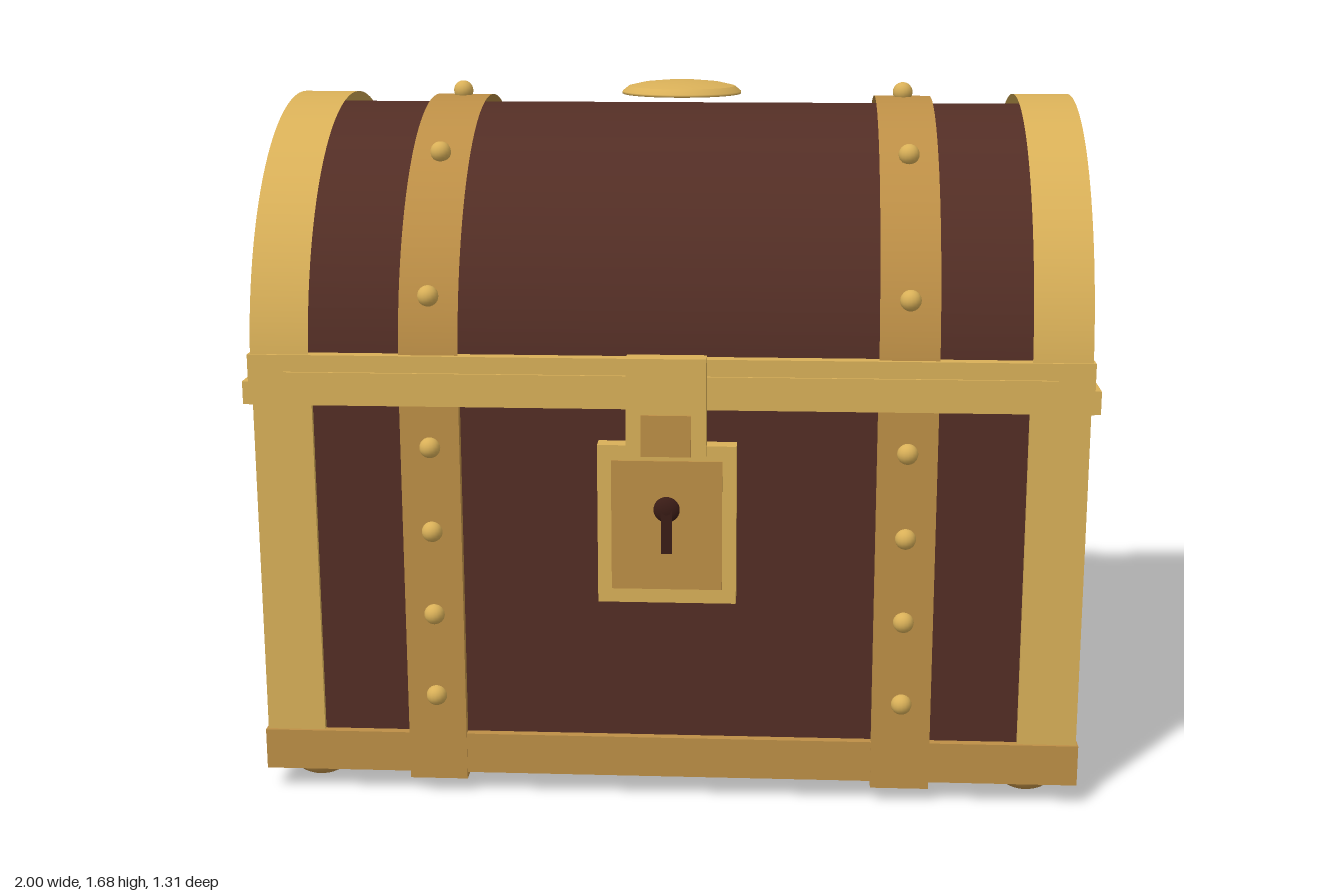
import * as THREE from 'three';

export function createModel() {
  const chest = new THREE.Group();
  chest.name = 'treasureChest';
  const mat = (name, color, side = THREE.FrontSide) => {
    const m = new THREE.MeshStandardMaterial({ color, side });
    m.name = name;
    return m;
  };
  const wood = mat('darkWood', 0x532e25);
  const gold = mat('gold', 0xd9b058, THREE.DoubleSide);
  const bronze = mat('bronze', 0xbd8f46, THREE.DoubleSide);
  const dark = mat('keyholeDark', 0x3a1c16);

  const add = (name, geo, material, x = 0, y = 0, z = 0) => {
    const m = new THREE.Mesh(geo, material);
    m.name = name;
    m.position.set(x, y, z);
    chest.add(m);
    return m;
  };
  // Box given by its limits on each axis
  const box = (name, material, x0, x1, y0, y1, z0, z1) =>
    add(name, new THREE.BoxGeometry(x1 - x0, y1 - y0, z1 - z0), material,
      (x0 + x1) / 2, (y0 + y1) / 2, (z0 + z1) / 2);

  const CZ = -0.023, CY = 1.03; // axis of the barrel lid
  const halfTube = (r, w, open) =>
    new THREE.CylinderGeometry(r, r, w, 64, 1, open, 0, Math.PI).rotateZ(Math.PI / 2);

  // Wooden body and barrel lid
  box('body', wood, -0.955, 0.955, 0.05, 1.03, CZ - 0.597, CZ + 0.597);
  add('lid', halfTube(0.597, 1.91, false), wood, 0, CY, CZ);

  // Base trim, just above the wooden underside
  box('baseTrim', bronze, -0.985, 0.985, 0.052, 0.152, -0.64, 0.595);

  // Rim around the opening
  box('frontRim', gold, -0.985, 0.985, 0.97, 1.09, 0.557, 0.603);
  box('backRim', gold, -0.985, 0.985, 0.97, 1.09, -0.655, -0.61);
  box('rimLip', gold, -0.9, 0.9, 1.03, 1.05, 0.6, 0.609);

  const nail = new THREE.SphereGeometry(0.025, 16, 12);
  for (const s of [-1, 1]) {
    const side = s < 0 ? 'right' : 'left';
    box(side + 'Rim', gold, s * 0.97 - 0.03, s * 0.97 + 0.03, 0.97, 1.025, -0.65, 0.6);

    // Corner posts and feet
    for (const [z0, z1, fz] of [[0.45, 0.587, 0.482], [-0.635, -0.5, -0.526]]) {
      box(side + 'CornerPost', gold, s * 0.91 - 0.07, s * 0.91 + 0.07, 0.15, 0.972, z0, z1);
      add(side + 'Foot', new THREE.SphereGeometry(0.075, 24, 16), bronze, s * 0.872, 0.05, fz)
        .scale.set(1, 0.66, 1);
    }

    // Open metal hoops over the lid
    add(side + 'EndHoop', halfTube(0.622, 0.138, true), gold, s * 0.91, CY, CZ);
    add(side + 'LidStrap', halfTube(0.616, 0.14, true), bronze, s * 0.56, CY, CZ);

    // Straps down the front, under the base and up the back
    const x0 = s * 0.56 - 0.07, x1 = s * 0.56 + 0.07;
    box(side + 'FrontStrap', bronze, x0, x1, 0.036, 0.972, 0.565, 0.598);
    box(side + 'BackStrap', bronze, x0, x1, 0.036, 0.972, -0.643, -0.61);
    box(side + 'BottomStrap', bronze, x0, x1, 0.036, 0.06, -0.643, 0.598);

    // Nails
    for (let i = 0; i < 4; i++) add(side + 'BodyNail', nail, gold, s * 0.56, 0.252 + i * 0.206, 0.597);
    for (let i = 0; i < 5; i++) {
      const a = Math.PI * (i + 0.5) / 5;
      add(side + 'LidNail', nail, gold, s * 0.56, CY + 0.005 + 0.622 * Math.sin(a), CZ + 0.622 * Math.cos(a));
    }
  }

  // Lock plate, hasp and keyhole
  box('lockPlate', gold, -0.163, 0.163, 0.505, 0.888, 0.575, 0.621);
  box('lockPanel', bronze, -0.13, 0.13, 0.54, 0.852, 0.62, 0.626);
  box('hasp', gold, -0.093, 0.093, 0.868, 1.1, 0.6, 0.65);
  box('haspPanel', bronze, -0.058, 0.058, 0.87, 0.968, 0.649, 0.656);
  add('keyholeTop', new THREE.SphereGeometry(0.033, 24, 16), dark, 0, 0.735, 0.62).scale.z = 0.55;
  box('keyholeSlot', dark, -0.013, 0.013, 0.63, 0.735, 0.615, 0.637);

  // Shallow domed medallion above the lid
  const profile = [[0, 1.652], [0.151, 1.652], [0.151, 1.658], [0.135, 1.671], [0.135, 1.671],
    [0.1, 1.679], [0.05, 1.684], [0, 1.685]].map(p => new THREE.Vector2(...p));
  add('medallion', new THREE.LatheGeometry(profile, 48), gold, 0, 0, CZ);

  return chest;
}
